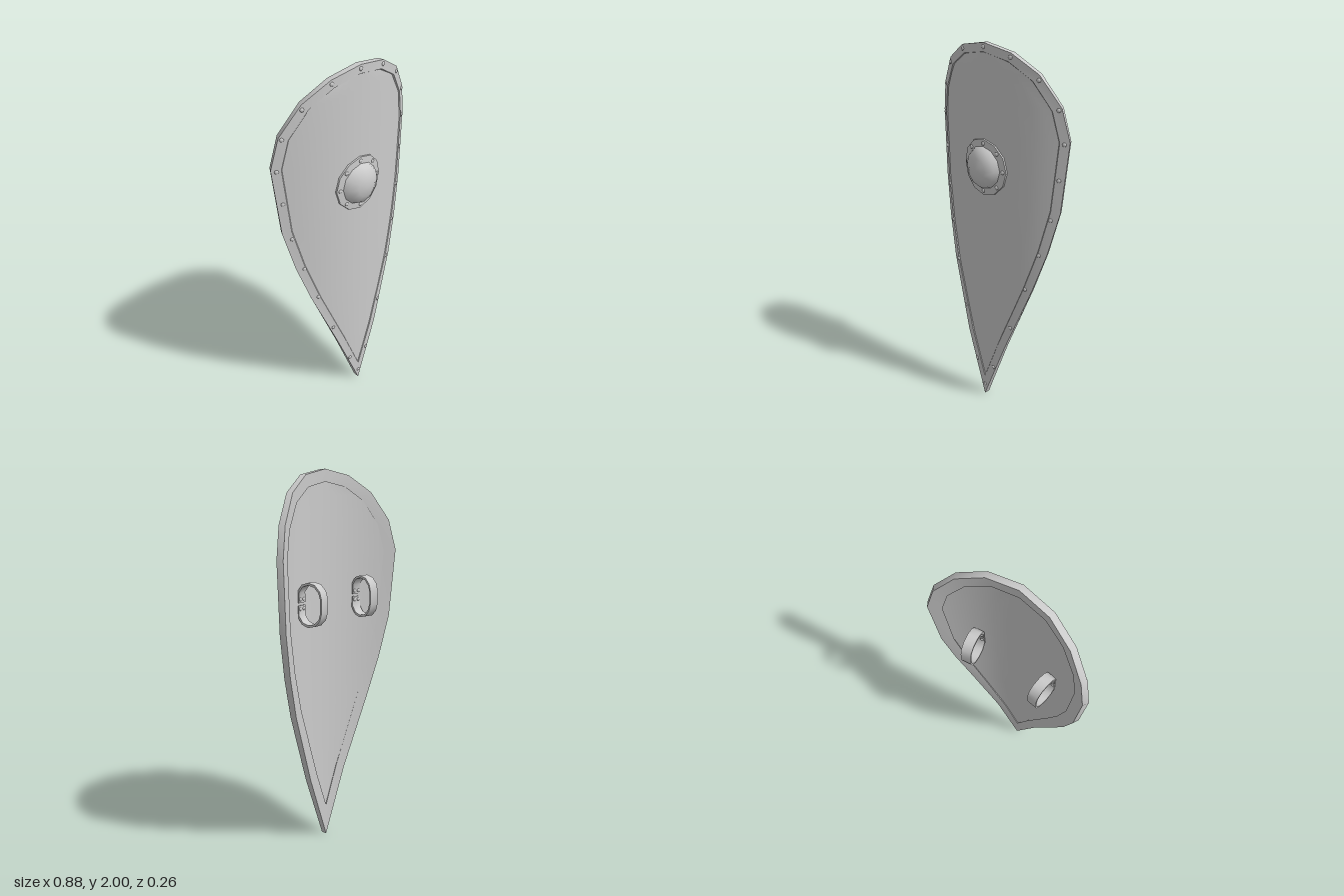
import * as THREE from 'three';
import { toCreasedNormals } from 'three/addons/utils/BufferGeometryUtils.js';

const BEND = 0.69, MID = 0.057;
const mat = new THREE.MeshStandardMaterial({ color: 0xcccccc });

// Right half of the kite outline, from crown to tip
const HALF = [[0, 2], [0.162, 1.97], [0.297, 1.885], [0.396, 1.74], [0.434, 1.58],
  [0.406, 1.22], [0.355, 0.99], [0.288, 0.77], [0.139, 0.37], [0, 0]];
const OUTLINE = [...HALF, ...HALF.slice(1, -1).reverse().map(([x, y]) => [-x, y])];

// Point on the curved shield, t units in front of its middle layer
function onShield(x, y, t) {
  const n = new THREE.Vector3(2 * BEND * x, 0, 1).normalize();
  return new THREE.Vector3(x, y, MID - BEND * x * x).addScaledVector(n, t);
}

// Mitred inward offset of the clockwise outline
function inset(d) {
  const N = OUTLINE.length;
  const right = (a, b) => new THREE.Vector2(b[1] - a[1], a[0] - b[0]).normalize();
  return OUTLINE.map((p, i) => {
    const n1 = right(OUTLINE[(i + N - 1) % N], p);
    const n2 = right(p, OUTLINE[(i + 1) % N]);
    const m = n1.clone().add(n2).normalize();
    const k = d / m.dot(n1);
    return [p[0] + m.x * k, p[1] + m.y * k];
  });
}

// Indexed surface from rows of points
function surface(rows, { flip = false, closed = false } = {}) {
  const R = rows.length, C = rows[0].length, idx = [];
  for (let i = 0; i < (closed ? R : R - 1); i++) {
    for (let j = 0; j < (closed ? C : C - 1); j++) {
      const i2 = (i + 1) % R, j2 = (j + 1) % C;
      const a = i * C + j, b = i2 * C + j, c = i2 * C + j2, d = i * C + j2;
      if (flip) idx.push(a, c, b, a, d, c);
      else idx.push(a, b, c, a, c, d);
    }
  }
  const g = new THREE.BufferGeometry().setFromPoints(rows.flat());
  g.setIndex(idx);
  return toCreasedNormals(g, 0.6);
}

function add(parent, geo, name) {
  const m = new THREE.Mesh(geo, mat);
  m.name = name;
  parent.add(m);
  return m;
}

const rivetGeo = new THREE.SphereGeometry(0.011, 8, 4, 0, Math.PI * 2, 0, Math.PI / 2)
  .rotateX(Math.PI / 2).scale(1, 1, 0.6);

function addRivet(parent, x, y, t, name) {
  const r = add(parent, rivetGeo, name);
  r.position.copy(onShield(x, y, t));
  r.rotation.y = Math.atan(2 * BEND * x);
}

// Strap loop whose two ends meet on the shield's back
function strapGeometry() {
  const side = [[0.002, 0.007], [0.002, 0.065], [0.028, 0.1], [0.065, 0.112],
    [0.108, 0.102], [0.137, 0.072], [0.148, 0.035]];
  const outer = [...side, ...side.map(([d, y]) => [d, -y]).reverse()];
  const c = 0.074, k = 0.89;
  const inner = outer.map(([d, y]) => [c + (d - c) * k, y * k]).reverse();
  const shape = new THREE.Shape([...outer, ...inner].map(p => new THREE.Vector2(...p)));
  const g = new THREE.ExtrudeGeometry(shape, { depth: 0.053, bevelEnabled: false });
  g.translate(0, 0, -0.0265).rotateY(Math.PI / 2);
  return toCreasedNormals(g, 0.8);
}

export function createModel() {
  const shield = new THREE.Group();
  shield.name = 'kiteShield';

  // Curved board, front and back skins
  const edge = inset(0.02).slice(0, HALF.length);
  const skin = t => edge.map(([w, y]) =>
    Array.from({ length: 13 }, (_, j) => onShield(w * (j / 6 - 1), y, t)));
  add(shield, surface(skin(0.011)), 'boardFront');
  add(shield, surface(skin(-0.009), { flip: true }), 'boardBack');

  // Raised rim, wider on the back
  const front = inset(0.042), back = inset(0.062);
  const rim = OUTLINE.map((p, i) => [onShield(...p, 0.016), onShield(...p, -0.016),
    onShield(...back[i], -0.016), onShield(...front[i], 0.016)]);
  add(shield, surface(rim, { closed: true }), 'rim');

  // Rim rivets
  const rimRivets = [[0, 1.98], [0.158, 1.95], [0.295, 1.86], [0.383, 1.73], [0.411, 1.57],
    [0.394, 1.39], [0.364, 1.18], [0.315, 0.98], [0.251, 0.77], [0.172, 0.51], [0.064, 0.21], [0, 0.065]];
  for (const [x, y] of rimRivets) {
    for (const s of x ? [1, -1] : [1]) addRivet(shield, s * x, y, 0.015, 'rimRivet');
  }

  // Domed boss with a flange that follows the board
  const profile = [new THREE.Vector2(0.148, -0.004), new THREE.Vector2(0.146, 0.008)];
  for (let i = 0; i <= 3; i++) {
    const a = i * Math.PI / 6;
    profile.push(new THREE.Vector2(i < 3 ? 0.11 * Math.cos(a) : 0, 0.01 + 0.053 * Math.sin(a)));
  }
  const bossGeo = new THREE.LatheGeometry(profile, 12).rotateX(Math.PI / 2);
  const pos = bossGeo.attributes.position;
  for (let i = 0; i < pos.count; i++) pos.setZ(i, pos.getZ(i) - BEND * pos.getX(i) ** 2);
  add(shield, toCreasedNormals(bossGeo, 0.75), 'boss').position.set(0, 1.386, MID + 0.011);
  for (let i = 0; i < 8; i++) {
    const a = i * Math.PI / 4;
    addRivet(shield, 0.122 * Math.cos(a), 1.386 + 0.124 * Math.sin(a), 0.019, 'bossRivet');
  }

  // Pair of arm straps, each riveted to the back
  const strapGeo = strapGeometry();
  for (const s of [1, -1]) {
    const strap = new THREE.Group();
    strap.name = s > 0 ? 'leftStrap' : 'rightStrap';
    strap.position.copy(onShield(s * 0.213, 1.345, -0.009));
    strap.rotation.y = s * 0.13;
    add(strap, strapGeo, 'strapLoop');
    for (const x of [-0.013, 0.013]) {
      for (const y of [-0.024, 0.024]) {
        const r = add(strap, rivetGeo, 'strapRivet');
        r.position.set(x, y, -0.009);
        r.rotation.y = Math.PI;
        r.scale.setScalar(0.9);
      }
    }
    shield.add(strap);
  }
  return shield;
}
